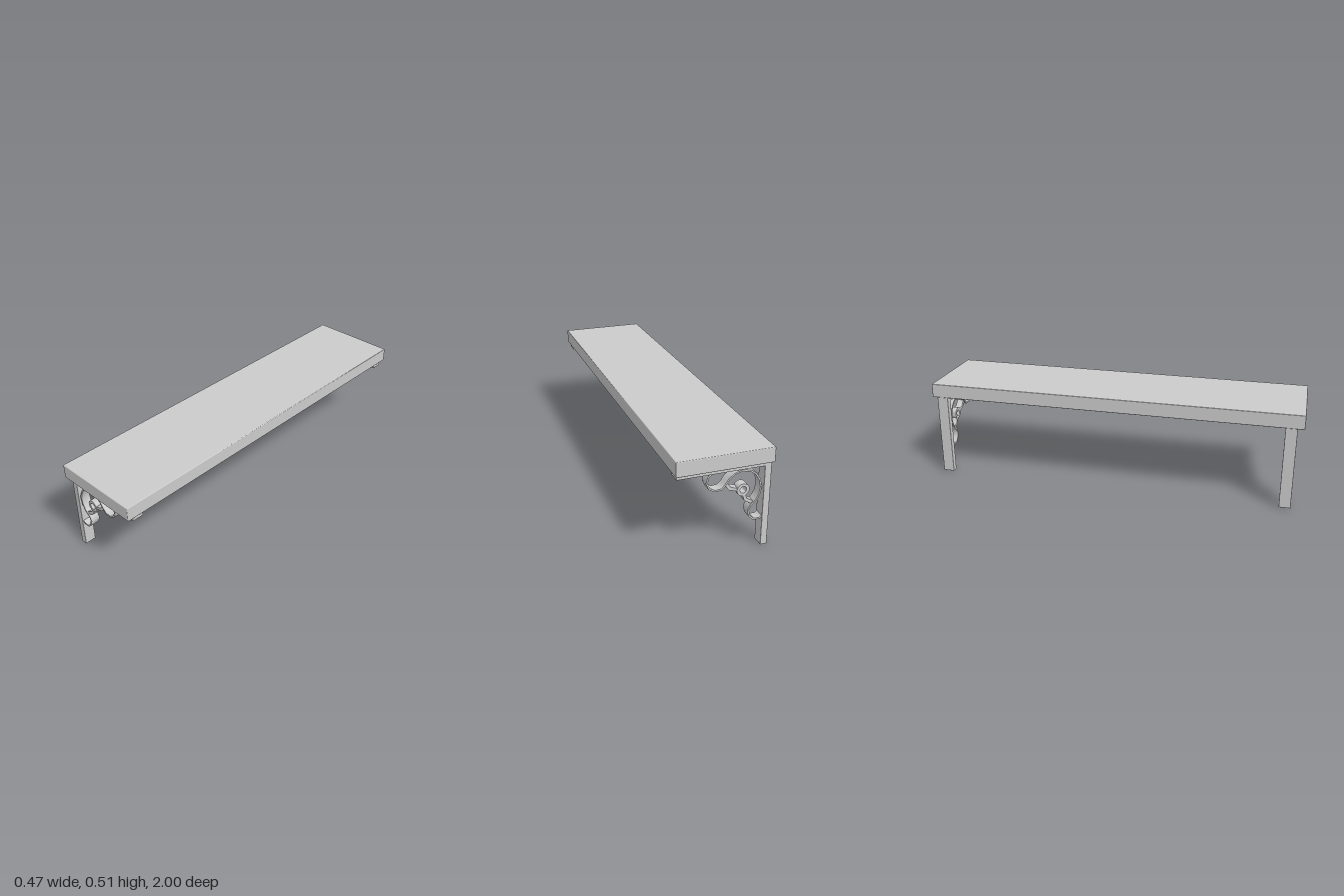
import * as THREE from 'three';
import { toCreasedNormals } from 'three/addons/utils/BufferGeometryUtils.js';
import { RoundedBoxGeometry } from 'three/addons/geometries/RoundedBoxGeometry.js';

const material = new THREE.MeshStandardMaterial({ color: 0xcccccc });

function addMesh(parent, name, geometry, x = 0, y = 0, z = 0) {
  const mesh = new THREE.Mesh(geometry, material);
  mesh.name = name;
  mesh.position.set(x, y, z);
  parent.add(mesh);
  return mesh;
}

// Box given by its x and y limits, centred on z, with slightly eased edges
function addBar(parent, name, x0, x1, y0, y1, depth, radius) {
  const geometry = new RoundedBoxGeometry(x1 - x0, y1 - y0, depth, 2, radius);
  return addMesh(parent, name, geometry, (x0 + x1) / 2, (y0 + y1) / 2, 0);
}

// Extrude a shape symmetrically about z = 0
function slab(shape, depth) {
  const geometry = new THREE.ExtrudeGeometry(shape, { depth, bevelEnabled: false, curveSegments: 10 });
  geometry.translate(0, 0, -depth / 2);
  return toCreasedNormals(geometry, 0.75);
}

// Flat strip of constant thickness with mitred joints along a polyline
function strip(points, thickness, depth) {
  const path = points.map(([x, y]) => new THREE.Vector2(x, y));
  const left = [], right = [];
  path.forEach((p, i) => {
    const a = path[Math.max(i - 1, 0)], b = path[Math.min(i + 1, path.length - 1)];
    const before = (i ? p.clone().sub(a) : b.clone().sub(p)).normalize();
    const after = (b === p ? before.clone() : b.clone().sub(p)).normalize();
    const tangent = before.clone().add(after).normalize();
    const normal = new THREE.Vector2(-tangent.y, tangent.x);
    const reach = thickness / 2 / Math.max(tangent.dot(before), 0.5);
    left.push(p.clone().addScaledVector(normal, reach));
    right.unshift(p.clone().addScaledVector(normal, -reach));
  });
  return slab(new THREE.Shape([...left, ...right]), depth);
}

// S-scroll from the underside of the top bar round to the leg
const scrollPath = [
  [0.054, 0.416], [0.071, 0.399], [0.078, 0.369], [0.066, 0.341], [0.039, 0.325],
  [0.006, 0.327], [-0.012, 0.345], [-0.031, 0.374], [-0.059, 0.395], [-0.097, 0.406],
  [-0.134, 0.398], [-0.163, 0.377], [-0.182, 0.345], [-0.190, 0.307], [-0.183, 0.270],
  [-0.167, 0.241], [-0.143, 0.220], [-0.131, 0.195], [-0.140, 0.163], [-0.161, 0.143],
  [-0.190, 0.143], [-0.203, 0.153],
];
const armPaths = [
  [[-0.076, 0.309], [-0.038, 0.320], [-0.015, 0.350]],
  [[-0.108, 0.280], [-0.118, 0.251], [-0.154, 0.230]],
];

function createBracket() {
  const bracket = new THREE.Group();
  bracket.name = 'bracket';
  addBar(bracket, 'leg', -0.234, -0.201, 0, 0.441, 0.06, 0.002);
  addBar(bracket, 'topBar', -0.203, 0.224, 0.413, 0.441, 0.06, 0.002);
  addMesh(bracket, 'scroll', strip(scrollPath, 0.008, 0.048));
  armPaths.forEach((path) => addMesh(bracket, 'scrollArm', strip(path, 0.015, 0.036)));

  // Ring at the heart of the scroll
  const ring = new THREE.Shape().absarc(0, 0, 0.031, 0, Math.PI * 2);
  ring.holes.push(new THREE.Path().absarc(0, 0, 0.0165, 0, Math.PI * 2, true));
  addMesh(bracket, 'ring', slab(ring, 0.042), -0.103, 0.305, 0);
  return bracket;
}

export function createModel() {
  const model = new THREE.Group();
  model.name = 'shelf';
  addBar(model, 'board', -0.236, 0.236, 0.44, 0.515, 2, 0.004);
  for (const z of [0.935, -0.943]) {
    const bracket = createBracket();
    bracket.position.z = z;
    model.add(bracket);
  }
  return model;
}
